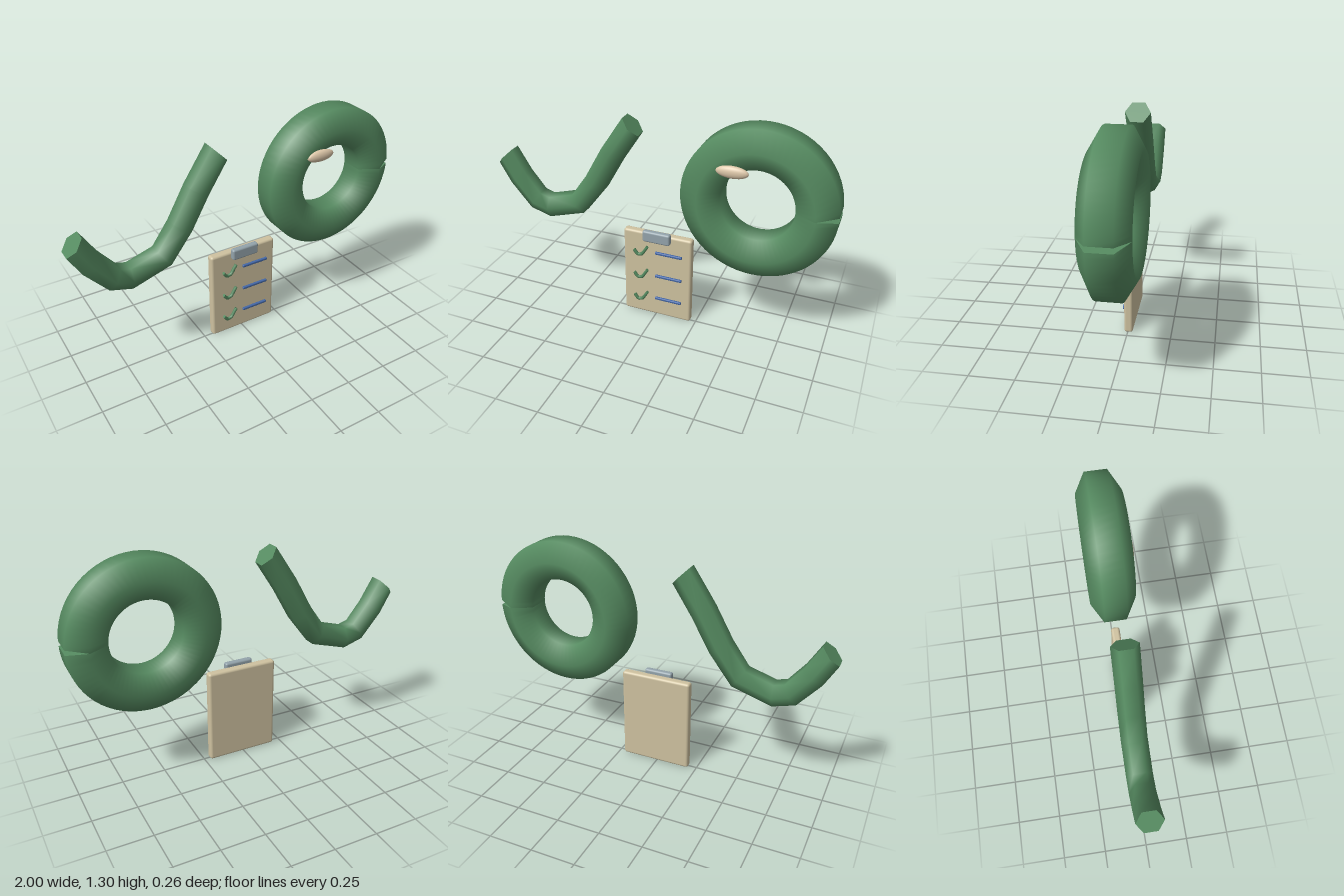
import * as THREE from 'three';
import { RoundedBoxGeometry } from 'three/addons/geometries/RoundedBoxGeometry.js';

const SIDES = 6;
const Z = -0.004;

// Capped six-sided tube along a flat path of Vector2 points, with given end directions
function sweep(path, radius, startDir, endDir) {
  const pos = [], index = [];
  const n = path.length;
  const ring = (i) => {
    let t;
    if (i === 0) t = startDir.clone();
    else if (i === n - 1) t = endDir.clone();
    else {
      t = path[i].clone().sub(path[i - 1]).normalize();
      t.add(path[i + 1].clone().sub(path[i]).normalize());
    }
    t.normalize();
    for (let j = 0; j < SIDES; j++) {
      const a = (j / SIDES) * Math.PI * 2;
      const s = Math.sin(a) * radius;
      pos.push(path[i].x + t.y * s, path[i].y - t.x * s, Math.cos(a) * radius);
    }
  };
  for (let i = 0; i < n; i++) ring(i);
  for (let i = 0; i < n - 1; i++) {
    for (let j = 0; j < SIDES; j++) {
      const a = i * SIDES + j, b = i * SIDES + ((j + 1) % SIDES);
      index.push(a, b, b + SIDES, a, b + SIDES, a + SIDES);
    }
  }
  // End caps use their own corners so that they stay flat
  for (const end of [0, n - 1]) {
    const base = pos.length / 3;
    ring(end);
    for (let j = 1; j < SIDES - 1; j++) {
      if (end === 0) index.push(base, base + j + 1, base + j);
      else index.push(base, base + j, base + j + 1);
    }
  }
  const geo = new THREE.BufferGeometry();
  geo.setAttribute('position', new THREE.Float32BufferAttribute(pos, 3));
  geo.setIndex(index);
  geo.computeVertexNormals();
  return geo;
}

function material(name, color) {
  const m = new THREE.MeshStandardMaterial({ color });
  m.name = name;
  return m;
}

// Tick outline, long arm to the right
const TICK = [
  [-0.957, 0.898], [-0.88, 0.767], [-0.773, 0.639], [-0.68, 0.612],
  [-0.487, 0.671], [-0.372, 0.826], [-0.267, 1.013], [-0.144, 1.2],
];

function tickGeometry(scale, radius, cx, cy) {
  const path = TICK.map(([x, y]) => new THREE.Vector2(cx + (x + 0.55) * scale, cy + (y - 0.9) * scale));
  return sweep(path, radius, new THREE.Vector2(0.707, -0.707), new THREE.Vector2(0.71, 0.7));
}

export function createModel() {
  const green = material('green', 0x558a60);
  const paper = material('boardBeige', 0xcfc2a0);
  const cream = material('cream', 0xdcc6a8);
  const steel = material('clipGrey', 0x93a3ab);
  const blue = material('lineBlue', 0x4468a8);

  const model = new THREE.Group();
  model.name = 'checklistSet';
  const add = (name, geo, mat, x = 0, y = 0, z = Z, parent = model) => {
    const mesh = new THREE.Mesh(geo, mat);
    mesh.name = name;
    mesh.position.set(x, y, z);
    parent.add(mesh);
    return mesh;
  };

  // Large tick
  add('largeTick', tickGeometry(1, 0.0735, -0.55, 0.9), green);

  // Ring whose tilted ends leave a small wedge open at the outer edge
  const circle = [];
  const steps = 64, tilt = Math.PI / 24;
  for (let i = 0; i <= steps; i++) {
    const a = (i / steps) * Math.PI * 2;
    circle.push(new THREE.Vector2(Math.cos(a) * 0.311, Math.sin(a) * 0.311));
  }
  const ringGeo = sweep(circle, 0.127,
    new THREE.Vector2(-Math.sin(tilt), Math.cos(tilt)),
    new THREE.Vector2(Math.sin(tilt), Math.cos(tilt)));
  add('ring', ringGeo, green, 0.577, 0.882);

  // Oval spot on the ring
  const spot = add('ringSpot', new THREE.SphereGeometry(1, 24, 16), cream, 0.449, 1.075, 0.11);
  spot.scale.set(0.087, 0.034, 0.023);

  // Clipboard
  const clipboard = new THREE.Group();
  clipboard.name = 'clipboard';
  model.add(clipboard);
  add('board', new RoundedBoxGeometry(0.42, 0.562, 0.05, 3, 0.015), paper, 0.008, 0.281, Z, clipboard);
  add('clip', new RoundedBoxGeometry(0.168, 0.07, 0.036, 3, 0.012), steel, 0.009, 0.55, 0.03, clipboard);

  // Rows: one small tick and one line each
  for (const y of [0.444, 0.285, 0.126]) {
    add('rowTick', tickGeometry(0.102, 0.01, -0.09, y), green, 0, 0, 0.0325, clipboard);
    add('rowLine', new RoundedBoxGeometry(0.165, 0.016, 0.016, 2, 0.005), blue, 0.081, y, 0.029, clipboard);
  }
  return model;
}
